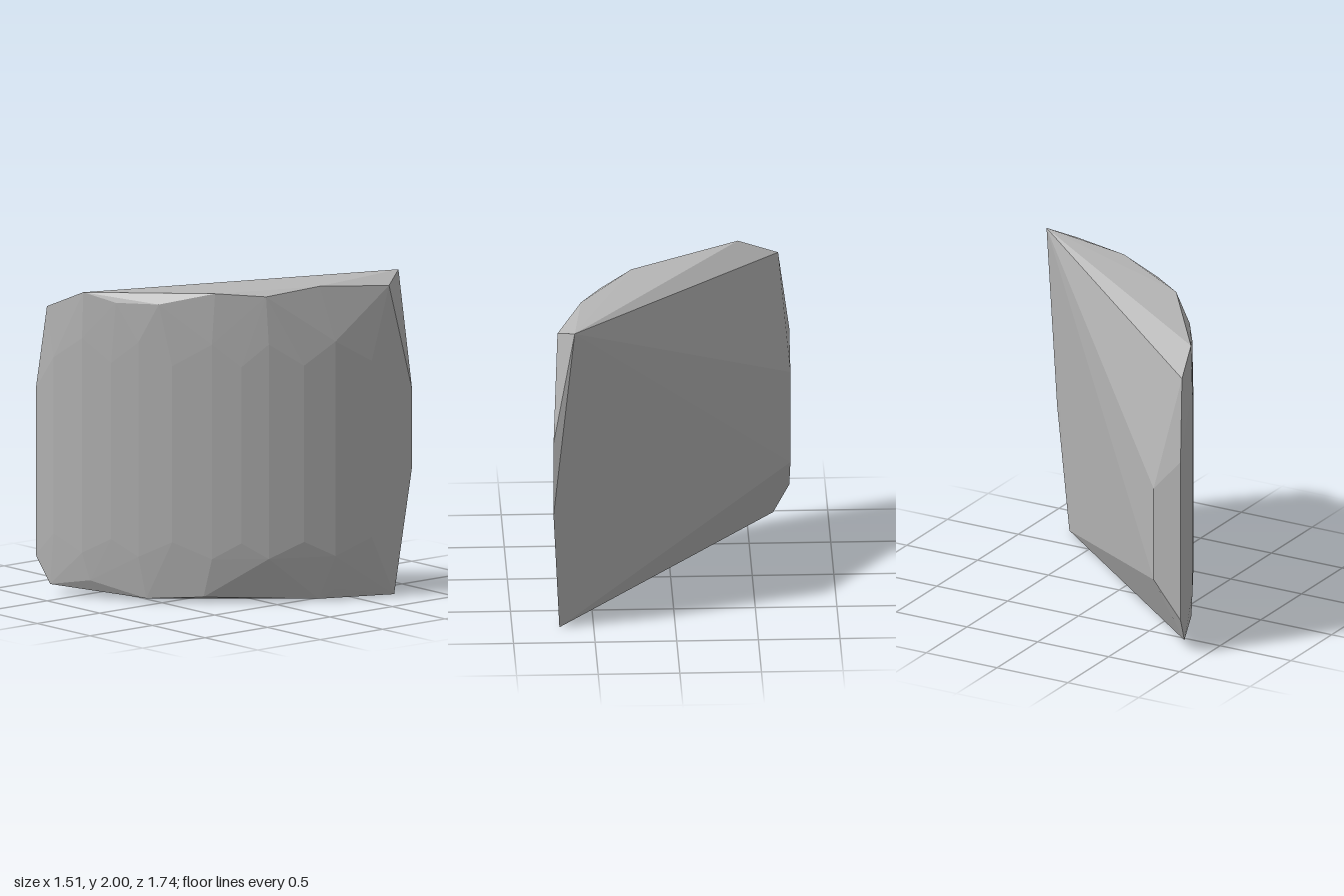
import * as THREE from 'three';
import { ConvexGeometry } from 'three/addons/geometries/ConvexGeometry.js';

export function createModel() {
  const model = new THREE.Group();
  model.name = 'curvedShard';
  const stone = new THREE.MeshStandardMaterial({ color: 0xb6b6b6 });
  stone.name = 'grey stone';

  // Corners of the top rim, bottom rim and the two narrow ends
  const corners = [
    // top rim
    [0.62, 2, -0.87], [0.72, 1.935, -0.71], [0.56, 1.96, -0.29], [0.43, 1.915, 0.03],
    [0.23, 1.935, 0.27], [-0.02, 1.86, 0.51], [-0.25, 1.855, 0.66],
    [-0.44, 1.905, 0.76], [-0.69, 1.79, 0.84],
    // bottom rim
    [0.71, 0, -0.76], [0.67, 0.22, -0.56], [0.61, 0.07, -0.38], [0.56, 0.01, -0.28],
    [0.18, 0.04, 0.32], [-0.09, 0.02, 0.55], [-0.4, 0.11, 0.74], [-0.66, 0.06, 0.84],
    // right end
    [0.75, 1.27, -0.87], [0.75, 0.79, -0.87],
    // left end
    [-0.76, 1.27, 0.87], [-0.76, 0.23, 0.87], [-0.76, 1.06, 0.68], [-0.76, 0.46, 0.68],
  ];

  // Bulging outer face: a plan curve (x, z) repeated at staggered heights
  const plan = [
    [-0.63, 0.838], [-0.44, 0.77], [-0.27, 0.68], [-0.12, 0.588], [0.05, 0.462],
    [0.23, 0.295], [0.35, 0.16], [0.45, 0.025], [0.56, -0.165], [0.64, -0.35], [0.71, -0.58],
  ];
  plan.forEach(([x, z], i) => {
    corners.push([x, i % 2 ? 1.62 : 1.48, z], [x, i % 2 ? 0.28 : 0.38, z]);
  });

  // Convex faceted body
  const body = new THREE.Mesh(
    new ConvexGeometry(corners.map((p) => new THREE.Vector3(...p))), stone);
  body.name = 'shardBody';
  model.add(body);
  return model;
}
